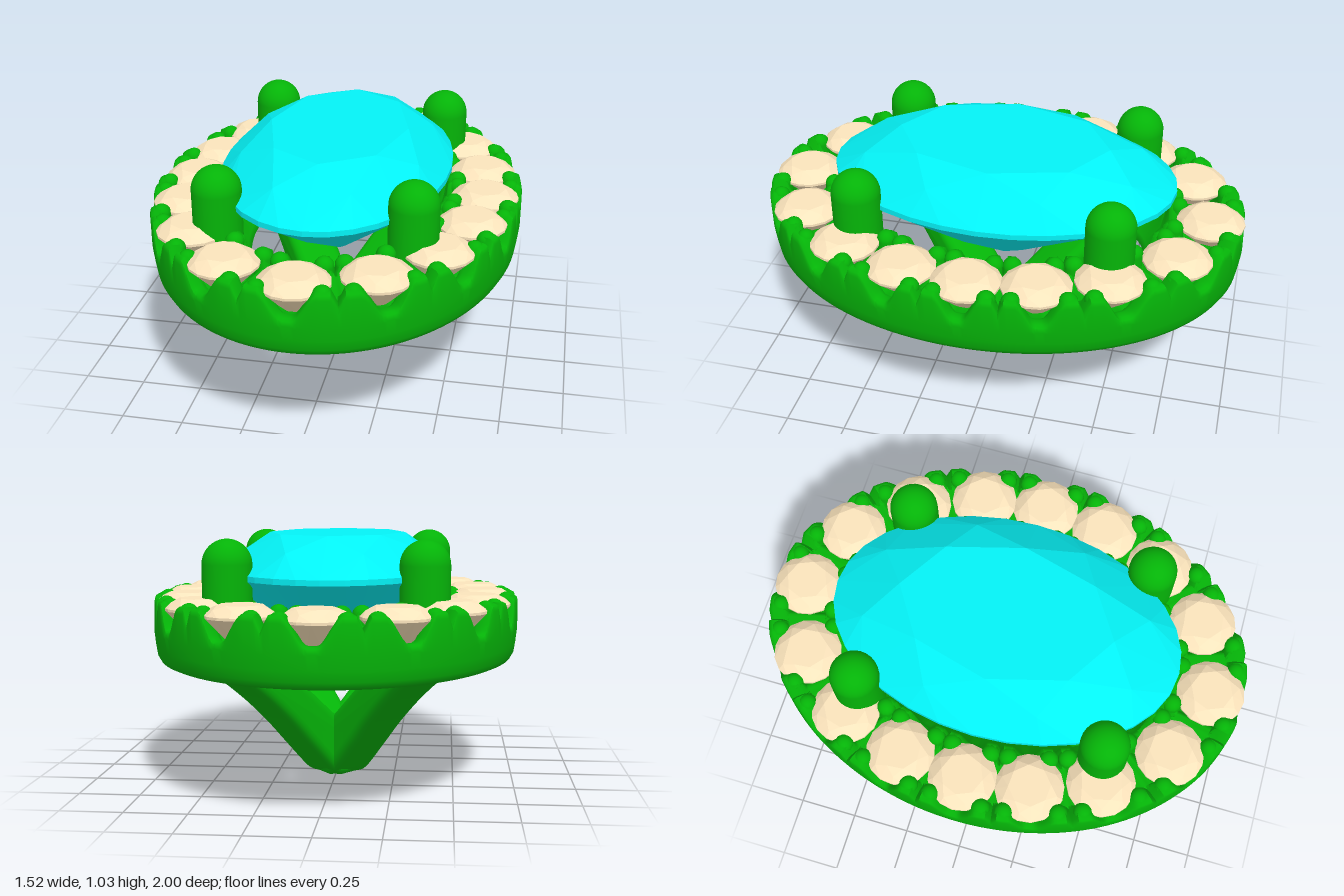
import * as THREE from 'three';
import { toCreasedNormals } from 'three/addons/utils/BufferGeometryUtils.js';
import { ConvexGeometry } from 'three/addons/geometries/ConvexGeometry.js';

const metal = new THREE.MeshStandardMaterial({ color: 0x05b408 });
const gemBlue = new THREE.MeshStandardMaterial({ color: 0x04f2f6, flatShading: true });
const gemCream = new THREE.MeshStandardMaterial({ color: 0xfbe4bc, flatShading: true });

// Angles of the small stones round the oval, measured from +z
const quarter = [0, 28, 52, 72];
const stoneAngles = [
  ...quarter, 90, ...quarter.slice(1).reverse().map(a => 180 - a),
  ...quarter.map(a => 180 + a), 270, ...quarter.slice(1).reverse().map(a => 360 - a),
].map(THREE.MathUtils.degToRad);

const gapEnd = k => (k + 1 < stoneAngles.length ? stoneAngles[k + 1] : Math.PI * 2);
const angleAt = (k, u) => THREE.MathUtils.lerp(stoneAngles[k], gapEnd(k), u);

// Point on the halo: f = 0 on the inner rim, 1 on the outer rim
const haloPoint = (t, f, y) =>
  new THREE.Vector3((0.45 + 0.312 * f) * Math.sin(t), y, (0.69 + 0.31 * f) * Math.cos(t));

function add(group, name, geometry, material) {
  const mesh = new THREE.Mesh(geometry, material);
  mesh.name = name;
  group.add(mesh);
  return mesh;
}

// Brilliant cut: the facets follow from the hull of a few rings of points
function brilliant(rx, rz, top, girdle, edge, culet, sides) {
  const points = [new THREE.Vector3(0, culet, 0)];
  const ring = (n, r, y, turn = 0) => {
    for (let i = 0; i < n; i++) {
      const a = ((i + turn) / n) * Math.PI * 2;
      points.push(new THREE.Vector3(rx * r * Math.sin(a), y, rz * r * Math.cos(a)));
    }
  };
  const h = top - girdle;
  ring(8, 0.61, top);
  ring(8, 0.83, girdle + h * 0.58, 0.5);
  ring(sides, 1, girdle);
  ring(sides, 1, girdle - edge);
  ring(8, 0.45, THREE.MathUtils.lerp(culet, girdle - edge, 0.41), 0.5);
  return new ConvexGeometry(points);
}

// Halo: channel section swept round the oval, rims scalloped at each stone,
// inner wall sloping in towards a narrower opening underneath
function haloGeometry() {
  const steps = 28, positions = [], index = [];
  const smooth = THREE.MathUtils.smoothstep;
  let rows = 0;
  for (let k = 0; k < stoneAngles.length; k++) {
    for (let s = 0; s < steps; s++) {
      const u = s / steps, d = Math.min(u, 1 - u);
      const h = 0.675 + 0.108 * smooth(d, 0.04, 0.3) - 0.055 * smooth(d, 0.43, 0.5);
      const floor = 0.655 + 0.075 * smooth(d, 0.25, 0.42);
      const profile = [
        [-0.28, 0.52], [0.3, 0.52], [0.86, 0.52], [0.92, 0.528], [0.96, 0.55], [0.98, 0.59],
        [1, 0.645], [1, h - 0.025], [0.985, h - 0.007], [0.94, h], [0.84, h], [0.78, h - 0.012],
        [0.74, floor], [0.26, floor],
        [0.22, h - 0.012], [0.16, h], [0.06, h], [0.015, h - 0.007], [0, h - 0.025],
        [-0.06, 0.63], [-0.26, 0.56], [-0.3, 0.535],
      ];
      rows = profile.length;
      for (const [f, y] of profile) positions.push(...haloPoint(angleAt(k, u), f, y).toArray());
    }
  }
  const columns = stoneAngles.length * steps;
  for (let i = 0; i < columns; i++) {
    for (let j = 0; j < rows; j++) {
      const a = i * rows, b = ((i + 1) % columns) * rows, n = (j + 1) % rows;
      index.push(a + j, b + j, a + n, b + j, b + n, a + n);
    }
  }
  const geometry = new THREE.BufferGeometry();
  geometry.setAttribute('position', new THREE.Float32BufferAttribute(positions, 3));
  geometry.setIndex(index);
  return toCreasedNormals(geometry, 0.9);
}

// Basket arm: curved side outline, extruded with rounded edges
function armGeometry() {
  const v = (x, y) => new THREE.Vector2(x, y);
  const shape = new THREE.Shape();
  shape.moveTo(-0.06, 0);
  shape.lineTo(0.06, 0);
  shape.splineThru([v(0.11, 0.025), v(0.24, 0.15), v(0.36, 0.267), v(0.5, 0.385), v(0.64, 0.48), v(0.78, 0.53)]);
  shape.lineTo(0.78, 0.6);
  shape.lineTo(0.5, 0.6);
  shape.lineTo(0.44, 0.54);
  shape.splineThru([v(0.29, 0.425), v(0.11, 0.28), v(-0.06, 0.15)]);
  const geometry = new THREE.ExtrudeGeometry(shape, {
    depth: 0.13, bevelThickness: 0.04, bevelSize: 0.04, bevelOffset: -0.04, bevelSegments: 5, curveSegments: 8,
  });
  geometry.translate(0, 0, -0.065);
  return toCreasedNormals(geometry, 0.8);
}

export function createModel() {
  const model = new THREE.Group();
  model.name = 'ovalHaloSetting';

  add(model, 'halo', haloGeometry(), metal);
  add(model, 'centreGem', brilliant(0.47, 0.715, 1.035, 0.885, 0.022, 0.465, 32), gemBlue);

  // Small stones and the four claws in each gap between them
  const stone = brilliant(0.138, 0.138, 0.8, 0.762, 0.01, 0.62, 16);
  const claw = new THREE.CapsuleGeometry(0.038, 0.07, 6, 12);
  const stones = new THREE.Group(), claws = new THREE.Group();
  stones.name = 'haloStones';
  claws.name = 'haloClaws';
  model.add(stones, claws);
  stoneAngles.forEach((t, k) => {
    const mesh = add(stones, 'haloStone', stone, gemCream);
    mesh.position.set(0.612 * Math.sin(t), 0, 0.862 * Math.cos(t));
    mesh.rotation.y = t;
    for (const u of [0.345, 0.655]) {
      for (const f of [0.14, 0.85]) {
        add(claws, 'haloClaw', claw, metal).position.copy(haloPoint(angleAt(k, u), f, 0.722));
      }
    }
  });

  // Prongs with round tips, and the arms that meet below the centre gem
  const prong = new THREE.CapsuleGeometry(0.098, 0.29, 10, 28);
  const arm = armGeometry();
  for (const sx of [-1, 1]) {
    for (const sz of [-1, 1]) {
      add(model, 'prong', prong, metal).position.set(0.382 * sx, 0.784, 0.508 * sz);
      add(model, 'basketArm', arm, metal).rotation.y = Math.atan2(-0.79 * sz, 0.61 * sx);
    }
  }
  const foot = add(model, 'basketFoot', new THREE.SphereGeometry(0.1, 24, 16), metal);
  foot.position.y = 0.1;
  return model;
}
